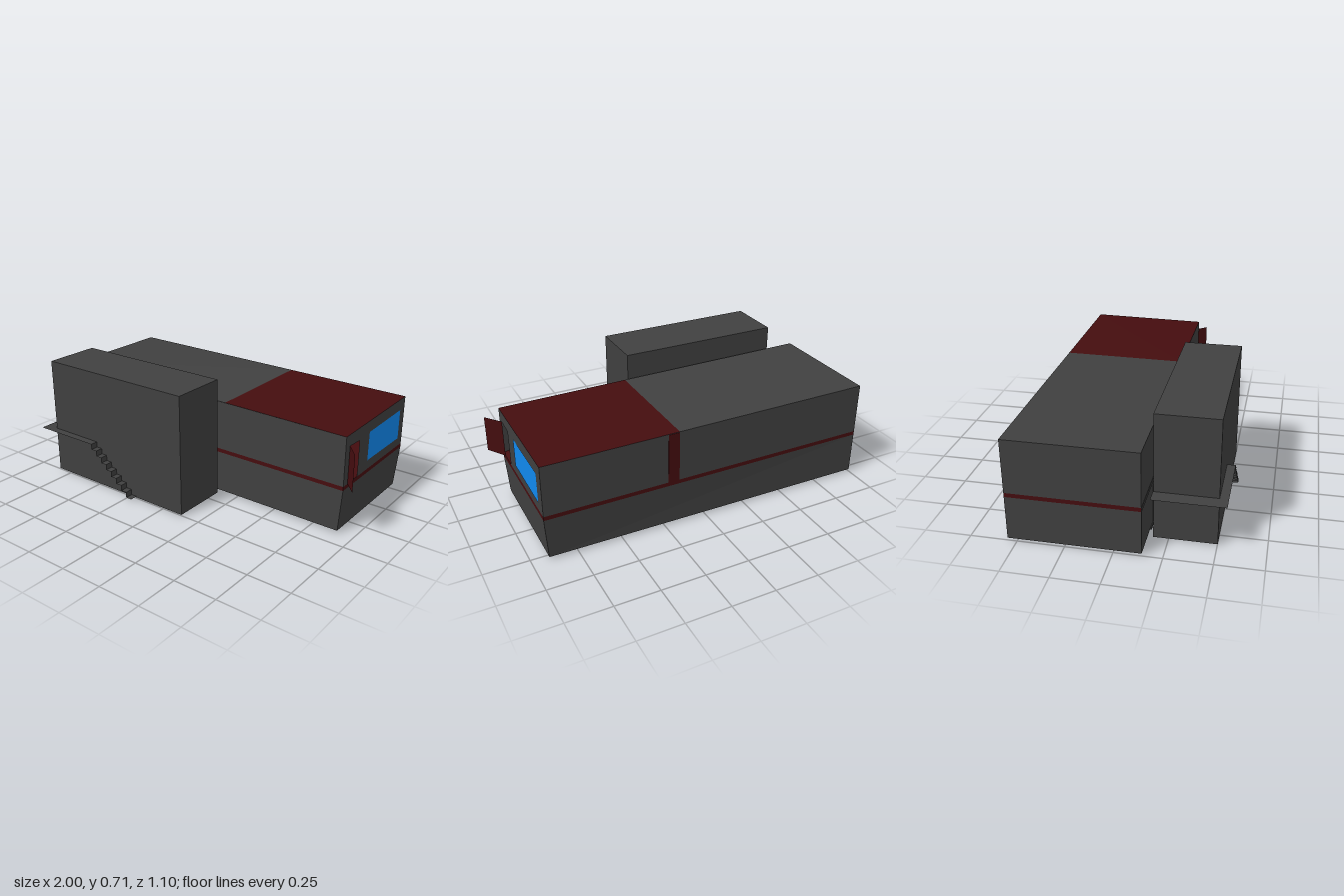
import * as THREE from 'three';

const material = (color) => new THREE.MeshStandardMaterial({ color, flatShading: true, side: THREE.DoubleSide });

export function createModel() {
  const model = new THREE.Group();
  const grey = material(0x404040);
  const red = material(0x450d0f);
  const blue = material(0x1088ee);

  const add = (name, geometry, mat) => {
    const mesh = new THREE.Mesh(geometry, mat);
    mesh.name = name;
    model.add(mesh);
    return mesh;
  };

  // Box given by its limits
  const block = (name, mat, x0, x1, y0, y1, z0, z1) => {
    const g = new THREE.BoxGeometry(x1 - x0, y1 - y0, z1 - z0);
    g.translate((x0 + x1) / 2, (y0 + y1) / 2, (z0 + z1) / 2);
    return add(name, g, mat);
  };

  // Four-sided sheet, corners counter-clockwise seen from its front
  const quad = (name, mat, ...corners) => {
    const g = new THREE.BufferGeometry();
    g.setAttribute('position', new THREE.Float32BufferAttribute(corners.flat(), 3));
    g.setIndex([0, 1, 2, 0, 2, 3]);
    g.computeVertexNormals();
    return add(name, g, mat);
  };

  const left = -1, right = 0.925, back = -0.55, front = 0.145;
  const split = 0.167, bandLow = 0.262, bandHigh = 0.285;

  // Ring of corners: front left, front right, back right, back left
  const ring = (y) => [[left, y, front], [right, y, front], [right, y, back], [left, y, back]];
  const base = [[left, 0.02, front], [0.907, 0.02, front], [0.907, 0.02, -0.535], [left, 0.02, back]];
  const walls = (name, mat, low, high) => {
    for (let i = 0; i < 4; i++) {
      const j = (i + 1) % 4;
      quad(name, mat, low[i], low[j], high[j], high[i]);
    }
  };

  // Lower hull, tapered at the window end, with the stripe above it
  walls('lowerHull', grey, base, ring(bandLow));
  quad('hullFloor', grey, base[3], base[2], base[1], base[0]);
  walls('stripe', red, ring(bandLow), ring(bandHigh));
  block('stripeCover', grey, left, 0, bandLow, bandHigh, front - 0.002, front + 0.002);

  // Upper hull: slightly sloping roof in two colours
  const eave = [[left, 0.583, front], [right, 0.566, front], [right, 0.575, back], [left, 0.583, back]];
  const midFront = [split, 0.573, front], midBack = [split, 0.578, back];
  const sill = ring(bandHigh);
  quad('frontWall', grey, sill[0], sill[1], eave[1], eave[0]);
  quad('backWall', grey, sill[2], sill[3], eave[3], eave[2]);
  quad('plainEndWall', grey, sill[3], sill[0], eave[0], eave[3]);
  quad('plainRoof', grey, eave[0], midFront, midBack, eave[3]);
  quad('colouredRoof', red, midFront, eave[1], eave[2], midBack);
  block('backPillar', red, split, 0.232, bandHigh, 0.575, back - 0.002, back + 0.002);

  // Window end wall with a doorway, drawn in (-z, y)
  const wall = new THREE.Shape([
    [-front, bandHigh], [-back, bandHigh], [-back, 0.575], [-front, 0.566],
  ].map(([x, y]) => new THREE.Vector2(x, y)));
  wall.holes.push(new THREE.Path([
    [-0.1, 0.287], [-0.1, 0.5], [0.005, 0.495], [0.005, 0.287],
  ].map(([x, y]) => new THREE.Vector2(x, y))));
  const wallGeometry = new THREE.ShapeGeometry(wall);
  wallGeometry.rotateY(Math.PI / 2).translate(right, 0, 0);
  add('endWall', wallGeometry, grey);

  const glassX = right + 0.002;
  quad('endWindow', blue, [glassX, 0.34, -0.112], [glassX, 0.336, -0.492], [glassX, 0.51, -0.492], [glassX, 0.505, -0.115]);

  // Open door and the space behind it
  quad('openDoor', red, [right, 0.285, 0.1], [right, 0.502, 0.1], [1, 0.505, 0.19], [1, 0.295, 0.19]);
  quad('insideFloor', red, [right, bandHigh, 0.14], [right, bandHigh, -0.54], [0.5, 0.36, -0.54], [0.5, 0.36, 0.14]);
  quad('insideWall', grey, [0.5, bandHigh, 0.14], [0.5, bandHigh, -0.54], [0.5, 0.57, -0.54], [0.5, 0.57, 0.14]);

  // Tall side block and the passages that join it to the hull
  block('sideBlock', grey, -0.84, 0.135, 0.013, 0.711, 0.172, 0.502);
  for (const [x0, x1] of [[-0.71, -0.59], [-0.135, 0.03]]) {
    block('passage', grey, x0, x1, 0.016, 0.236, front - 0.01, 0.18);
  }
  block('underPlate', grey, -0.77, -0.38, 0.006, 0.021, -0.04, 0.15);

  // Landing and thin folded stairs along the side block
  const landingY = 0.283, z0 = 0.5, z1 = 0.548;
  quad('landingEnd', grey, [-0.92, landingY, z1], [-0.838, landingY, z1], [-0.838, landingY, 0.17], [-0.92, landingY, 0.17]);
  quad('landing', grey, [-0.838, landingY, z1], [-0.5, landingY, z1], [-0.5, landingY, z0], [-0.838, landingY, z0]);
  const steps = 8, run = 0.3 / steps, rise = 0.263 / steps;
  for (let i = 0; i < steps; i++) {
    const x = -0.5 + i * run, top = landingY - i * rise, y = top - rise;
    quad('riser', grey, [x, y, z1], [x, y, z0], [x, top, z0], [x, top, z1]);
    quad('tread', grey, [x, y, z1], [x + run, y, z1], [x + run, y, z0], [x, y, z0]);
  }

  return model;
}
